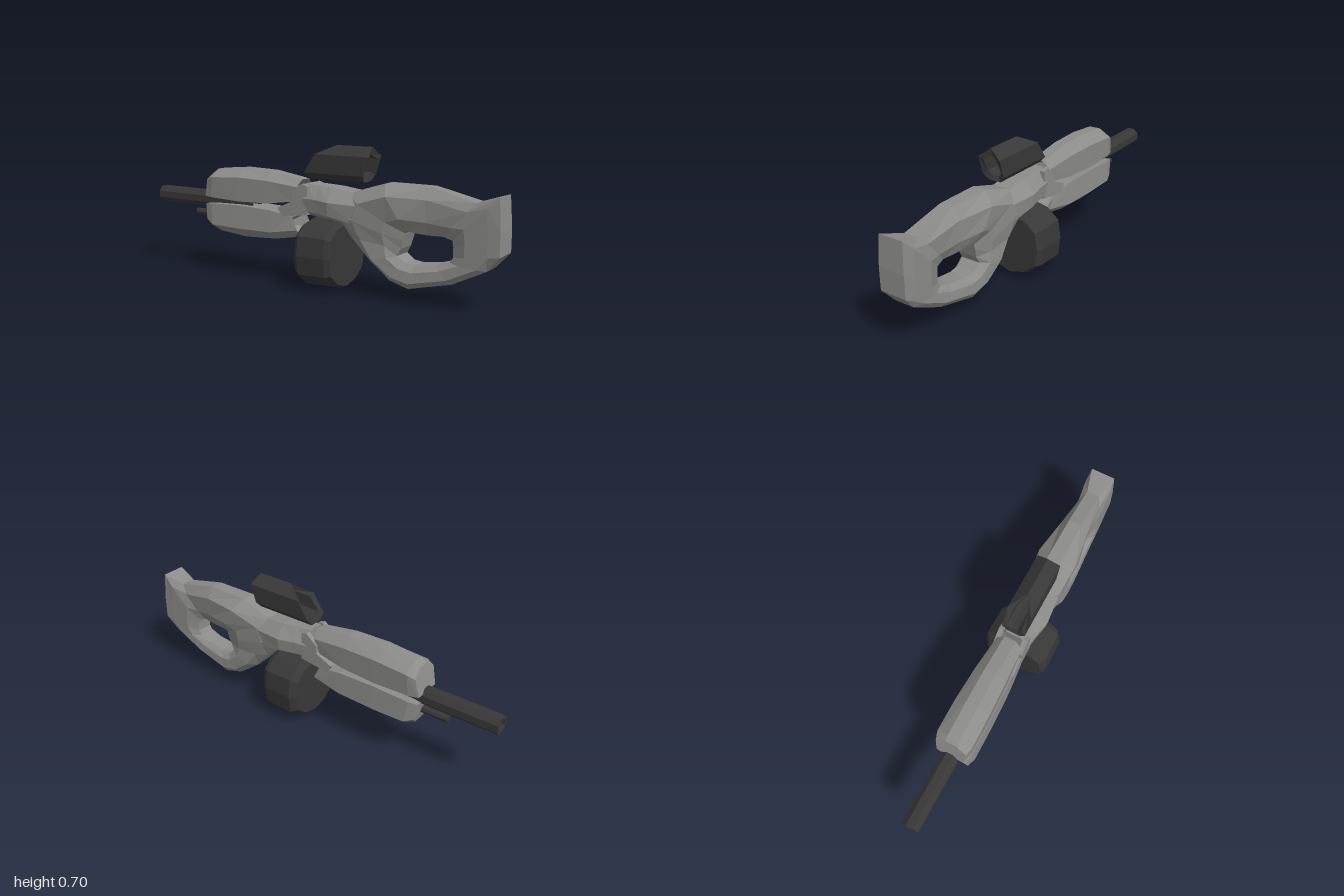
import * as THREE from 'three';

// Faceted loft through rings of [x, y, z]; closed loops back to the first ring.
// caps: how far the start and end cap centres are pushed in along x.
function loft(rings, closed = false, caps = [0, 0]) {
  const tris = [];
  const n = rings[0].length;
  const count = closed ? rings.length : rings.length - 1;
  for (let i = 0; i < count; i++) {
    const a = rings[i], b = rings[(i + 1) % rings.length];
    for (let j = 0; j < n; j++) {
      const k = (j + 1) % n;
      tris.push([a[j], b[j], b[k]], [a[j], b[k], a[k]]);
    }
  }
  if (!closed) {
    const cap = (ring, push, flip) => {
      const c = [0, 1, 2].map(d => ring.reduce((s, p) => s + p[d], 0) / n);
      c[0] += push;
      ring.forEach((p, j) => {
        const q = ring[(j + 1) % n];
        tris.push(flip ? [c, q, p] : [c, p, q]);
      });
    };
    cap(rings[0], caps[0], false);
    cap(rings[rings.length - 1], -caps[1], true);
  }
  // turn all faces outward
  const A = new THREE.Vector3(), B = new THREE.Vector3(), C = new THREE.Vector3();
  let volume = 0;
  for (const [a, b, c] of tris) volume += A.fromArray(a).dot(B.fromArray(b).cross(C.fromArray(c)));
  if (volume < 0) tris.forEach(t => t.reverse());
  const g = new THREE.BufferGeometry();
  g.setAttribute('position', new THREE.Float32BufferAttribute(tris.flat(2), 3));
  g.computeVertexNormals();
  return g;
}

// Symmetric cross-section from half-profile points [x, y, z], top to bottom
const mirrorRing = half => [...half, ...half.slice().reverse().map(([x, y, z]) => [x, y, -z])];

export function createModel() {
  const group = new THREE.Group();
  const grey = new THREE.MeshStandardMaterial({ color: 0x8c8c8a });
  grey.name = 'body grey';
  const dark = new THREE.MeshStandardMaterial({ color: 0x383838 });
  dark.name = 'dark metal';
  const add = (name, geometry, material) => {
    const mesh = new THREE.Mesh(geometry, material);
    mesh.name = name;
    group.add(mesh);
    return mesh;
  };

  // Stock: faceted loop around the grip hole
  // [outer x, outer y, inner x, inner y, half width, outer edge share]
  const stock = [
    [1.0, 0.38, 0.78, 0.285, 0.07, 0.97],
    [0.99, 0.525, 0.775, 0.315, 0.07, 0.9],
    [0.88, 0.49, 0.73, 0.325, 0.056, 0.6],
    [0.66, 0.54, 0.65, 0.325, 0.072, 0.45],
    [0.435, 0.54, 0.57, 0.335, 0.1, 0.35],
    [0.24, 0.48, 0.55, 0.325, 0.09, 0.5],
    [0.2, 0.385, 0.54, 0.29, 0.09, 0.9],
    [0.265, 0.28, 0.53, 0.25, 0.08, 0.7],
    [0.355, 0.18, 0.51, 0.215, 0.085, 0.5],
    [0.47, 0.095, 0.55, 0.185, 0.08, 0.6],
    [0.57, 0.07, 0.6, 0.18, 0.075, 0.75],
    [0.78, 0.12, 0.7, 0.195, 0.068, 0.7],
    [0.94, 0.2, 0.765, 0.215, 0.068, 0.75],
    [1.0, 0.27, 0.78, 0.24, 0.07, 0.97],
  ];
  add('stock', loft(stock.map(([ox, oy, ix, iy, w, e]) => {
    const at = (t, z) => [ox + (ix - ox) * t, oy + (iy - oy) * t, z];
    return mirrorRing([at(0, w * e), at(0.25, w), at(0.72, w * 0.95), at(1, w * 0.6)]);
  }), true), grey);

  // Receiver: x, top, middle, bottom heights and half width
  add('receiver', loft([
    [0.0, 0.51, 0.44, 0.36, 0.078],
    [0.08, 0.505, 0.44, 0.355, 0.09],
    [0.16, 0.5, 0.435, 0.35, 0.106],
    [0.3, 0.485, 0.43, 0.32, 0.09],
    [0.4, 0.48, 0.42, 0.3, 0.07],
  ].map(([x, t, m, b, w]) => mirrorRing([
    [x, t, w * 0.5], [x, m, w], [x, b + 0.02, w * 0.92], [x, b, w * 0.6],
  ]))), grey);

  // Side plates reaching forward between the handguards
  const plate = new THREE.Shape([
    [-0.15, 0.38], [-0.06, 0.42], [-0.06, 0.46], [0, 0.51],
    [0.03, 0.5], [0.03, 0.36], [-0.12, 0.34],
  ].map(p => new THREE.Vector2(...p)));
  for (const side of [1, -1]) {
    const g = new THREE.ExtrudeGeometry(plate, { depth: 0.025, bevelEnabled: false });
    add(side > 0 ? 'frontSidePlate' : 'backSidePlate', g, grey).position.z = side * 0.064 - 0.0125;
  }

  // Handguards: [x, y] of ridge, shoulder and inner edge, then half width
  const handguard = stations => loft(stations.map(([r, s, i, w]) => mirrorRing([
    [...r, 0.03], [...s, w], [...i, w * 0.92],
  ])), false, [0, 0.12]);
  add('upperHandguard', handguard([
    [[-0.6, 0.525], [-0.61, 0.49], [-0.63, 0.4], 0.078],
    [[-0.57, 0.545], [-0.57, 0.505], [-0.58, 0.398], 0.09],
    [[-0.4, 0.56], [-0.4, 0.515], [-0.4, 0.39], 0.088],
    [[-0.22, 0.555], [-0.22, 0.51], [-0.22, 0.395], 0.08],
    [[-0.03, 0.525], [-0.04, 0.49], [-0.07, 0.415], 0.067],
  ]), grey);
  add('lowerHandguard', handguard([
    [[-0.6, 0.235], [-0.615, 0.28], [-0.625, 0.36], 0.078],
    [[-0.56, 0.215], [-0.57, 0.255], [-0.58, 0.365], 0.09],
    [[-0.39, 0.2], [-0.4, 0.25], [-0.4, 0.37], 0.088],
    [[-0.2, 0.21], [-0.2, 0.25], [-0.2, 0.362], 0.08],
    [[-0.03, 0.24], [-0.04, 0.275], [-0.07, 0.34], 0.067],
  ]), grey);

  // Hollow eight-sided barrel
  const octagon = r => Array.from({ length: 8 }, (_, i) => {
    const a = (i + 0.5) * Math.PI / 4;
    return new THREE.Vector2(r * Math.cos(a), r * Math.sin(a));
  });
  const bore = new THREE.Shape(octagon(0.046));
  bore.holes.push(new THREE.Path(octagon(0.03)));
  const barrel = add('barrel', new THREE.ExtrudeGeometry(bore, { depth: 0.66, bevelEnabled: false }), dark);
  barrel.rotation.y = Math.PI / 2;
  barrel.position.set(-1, 0.378, 0);

  // Thin rod under the barrel
  const rod = new THREE.CylinderGeometry(0.018, 0.018, 0.25, 8).toNonIndexed();
  rod.computeVertexNormals();
  const rodMesh = add('lowerRod', rod, dark);
  rodMesh.rotation.z = Math.PI / 2;
  rodMesh.position.set(-0.625, 0.298, 0);

  // Drum magazine: bevelled ten-sided drum, outline as [z, y] from its centre
  const half = [[0, 0.172], [0.1, 0.15], [0.163, 0.098], [0.176, 0.003], [0.163, -0.09], [0.09, -0.148], [0, -0.172]];
  const outline = [...half, ...half.slice(1, -1).reverse().map(([z, y]) => [-z, y])];
  add('drumMagazine', loft([[0.005, 0.86], [0.035, 1], [0.185, 0.98], [0.212, 0.9]].map(
    ([x, s]) => outline.map(([z, y]) => [x, 0.174 + y * s, z * s]))), dark);

  // Sight: hollow slanted tube, [front x, rear x, outer y, outer z, inner y, inner z]
  const sight = [
    [0.15, 0.345, 0.7, 0, 0.665, 0],
    [0.06, 0.36, 0.656, 0.06, 0.643, 0.038],
    [0.0, 0.33, 0.565, 0.06, 0.578, 0.038],
    [0.0, 0.32, 0.535, 0.033, 0.556, 0.015],
  ];
  const flip = sight.slice(1).reverse().map(([f, r, y, z, iy, iz]) => [f, r, y, -z, iy, -iz]);
  add('sight', loft([...sight, ...flip].map(([f, r, y, z, iy, iz]) => [
    [f, y, z], [r, y, z], [r - 0.01, iy, iz], [f + 0.01, iy, iz],
  ]), true), dark);

  return group;
}
